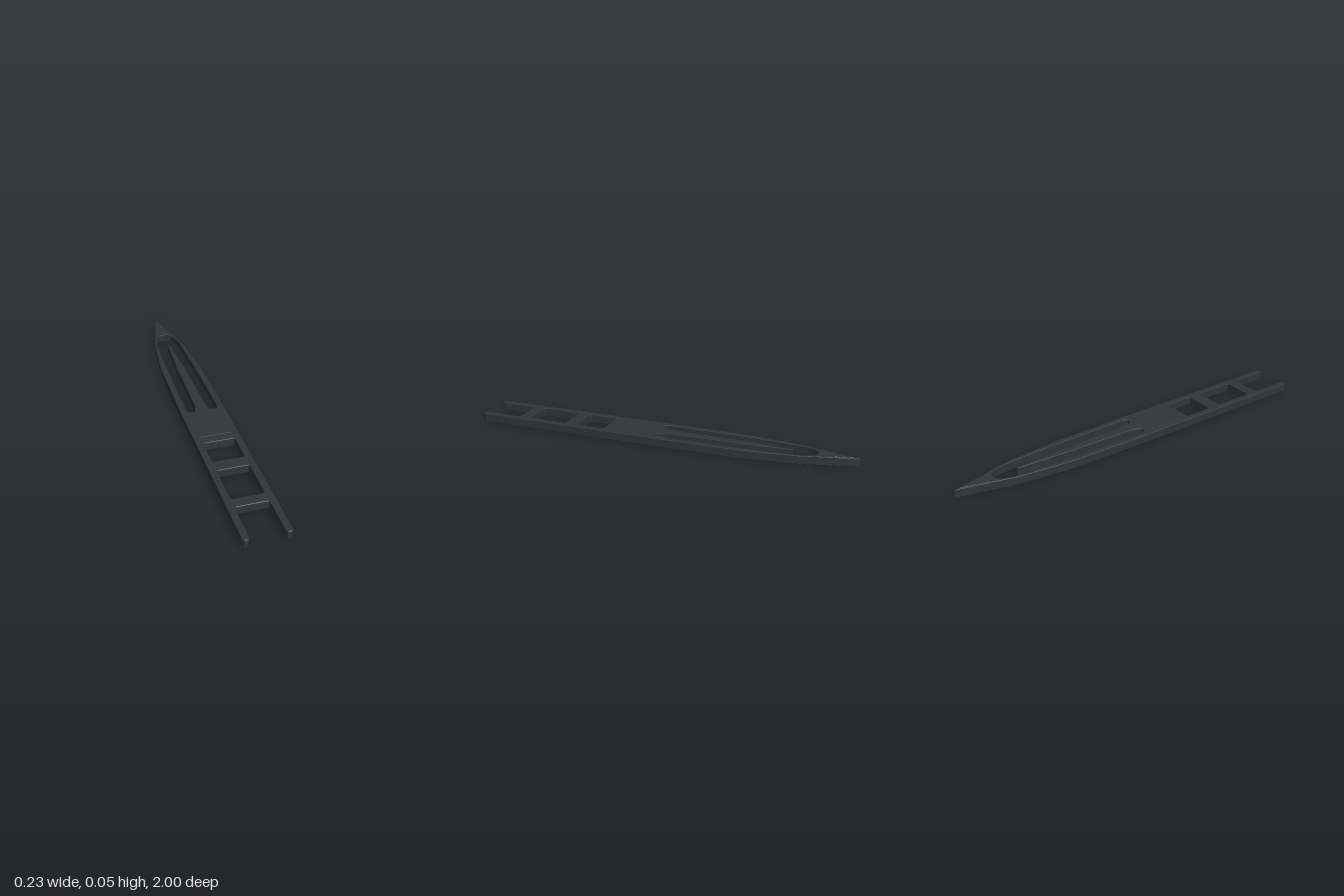
import * as THREE from 'three';

const TOP = 0.045, BOTTOM = 0.002;

// Extrudes a plan drawn in (x, z) so that it lies flat between two heights
function slab(name, shape, low, high, bevelSize, bevelThickness, material) {
  const geometry = new THREE.ExtrudeGeometry(shape, {
    depth: high - low - 2 * bevelThickness,
    bevelEnabled: true, bevelSegments: 1,
    bevelSize, bevelThickness, bevelOffset: -bevelSize,
    curveSegments: 8,
  });
  geometry.rotateX(Math.PI / 2);
  geometry.translate(0, high - bevelThickness, 0);
  const mesh = new THREE.Mesh(geometry, material);
  mesh.name = name;
  return mesh;
}

// Rectangle with rounded corners, |x| <= w, z from z0 to z1
function roundedRect(w, z0, z1, r, Type) {
  const s = new Type();
  s.moveTo(-w + r, z0);
  s.lineTo(w - r, z0);
  s.quadraticCurveTo(w, z0, w, z0 + r);
  s.lineTo(w, z1 - r);
  s.quadraticCurveTo(w, z1, w - r, z1);
  s.lineTo(-w + r, z1);
  s.quadraticCurveTo(-w, z1, -w, z1 - r);
  s.lineTo(-w, z0 + r);
  s.quadraticCurveTo(-w, z0, -w + r, z0);
  return s;
}

// Mirrors a half outline across x = 0 and closes it
function mirrored(half, Type) {
  const right = half.map(([x, z]) => new THREE.Vector2(x, z));
  const left = right.filter(p => p.x > 0).reverse().map(p => new THREE.Vector2(-p.x, p.y));
  return new Type([...right, ...left]);
}

export function createModel() {
  const group = new THREE.Group();
  group.name = 'nettingShuttle';
  const plastic = new THREE.MeshStandardMaterial({ color: 0x2d3636 });
  plastic.name = 'dark plastic';

  // Pointed outline with a two-pronged tail
  const body = mirrored([
    [0, -1], [0.038, -0.85], [0.072, -0.72], [0.08, -0.67], [0.094, -0.54],
    [0.107, -0.42], [0.111, -0.2], [0.114, 0], [0.114, 0.985], [0.107, 1],
    [0.088, 1], [0.081, 0.985], [0.081, 0.802], [0.077, 0.792], [0.068, 0.788],
  ], THREE.Shape);

  // Arched opening that leaves a tapering central tongue
  body.holes.push(mirrored([
    [0, -0.803], [0.018, -0.8], [0.034, -0.788], [0.048, -0.765], [0.057, -0.735],
    [0.063, -0.69], [0.069, -0.58], [0.076, -0.43], [0.08, -0.2], [0.081, 0],
    [0.077, 0.014], [0.068, 0.021], [0.05, 0.021], [0.041, 0.015], [0.035, 0],
    [0.028, -0.03], [0.024, -0.2], [0.02, -0.42], [0.012, -0.57], [0.005, -0.68],
  ], THREE.Path));

  // Two windows in the tail
  for (const [z0, z1] of [[0.298, 0.45], [0.52, 0.73]]) {
    body.holes.push(roundedRect(0.08, z0, z1, 0.013, THREE.Path));
  }
  group.add(slab('body', body, BOTTOM, TOP, 0.003, 0.002, plastic));

  // Slightly raised panel on both faces
  const panel = roundedRect(0.086, 0.055, 0.25, 0.006, THREE.Shape);
  group.add(slab('centrePanel', panel, 0, TOP + 0.002, 0.003, 0.0015, plastic));

  // Slightly raised pad on both faces of the point
  const pad = mirrored([[0, -0.97], [0.034, -0.83]], THREE.Shape);
  group.add(slab('tipPad', pad, 0.001, TOP + 0.001, 0.003, 0.001, plastic));

  return group;
}
